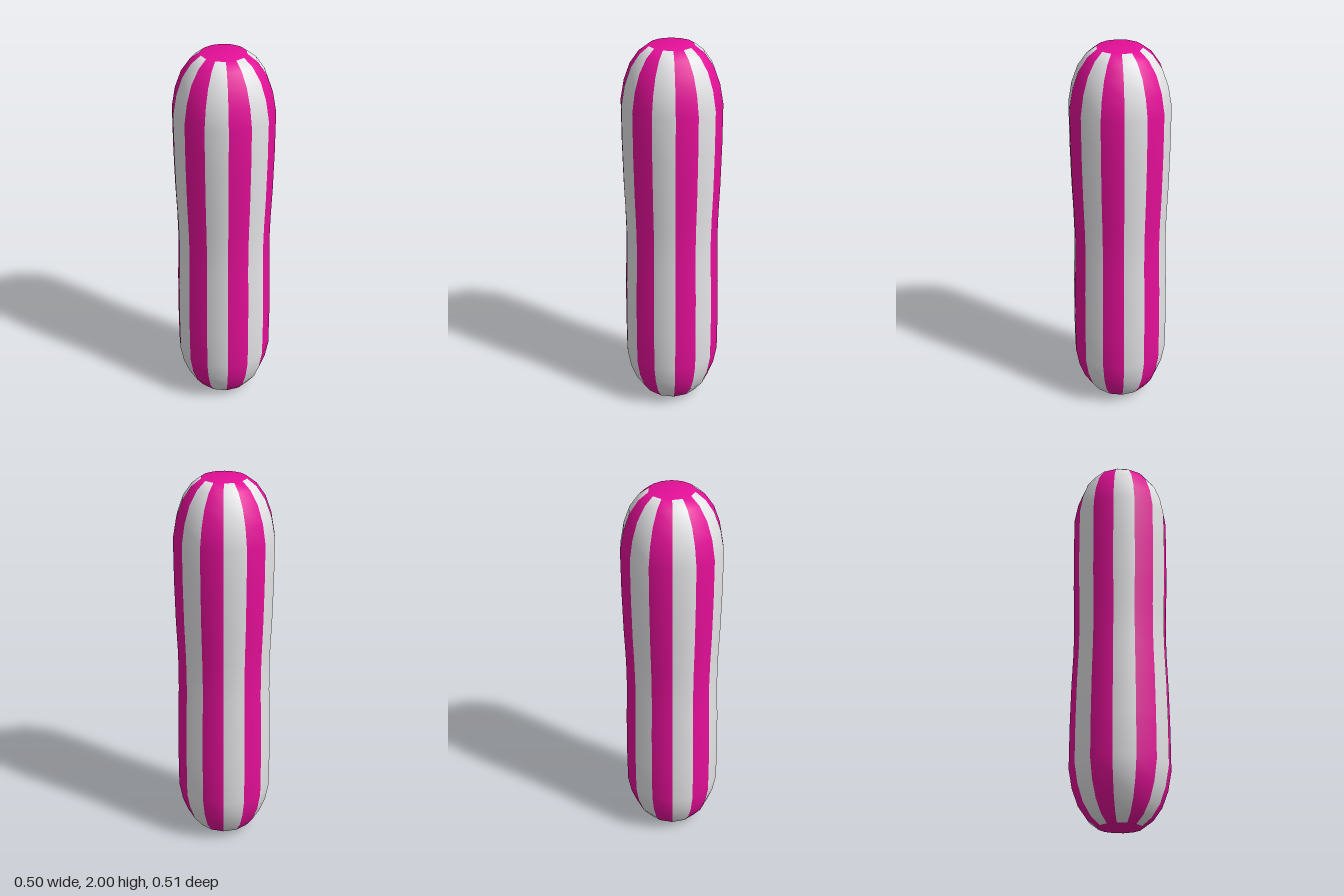
import * as THREE from 'three';

export function createModel() {
  const pink = new THREE.MeshStandardMaterial({ color: 0xe40f98 });
  pink.name = 'magenta';
  const white = new THREE.MeshStandardMaterial({ color: 0xe6e6e9 });
  white.name = 'offWhite';

  // Lower half profile [radius, height]: flat end, rounded shoulder, slight waist
  const half = [
    [0, 0], [0.112, 0], [0.16, 0.036], [0.205, 0.1], [0.236, 0.185],
    [0.254, 0.285], [0.254, 0.5], [0.25, 0.72], [0.244, 0.88],
  ];
  const profile = [
    ...half,
    [0.242, 1],
    ...half.map(([r, y]) => [r, 2 - y]).reverse(),
  ].map(([r, y]) => new THREE.Vector2(r, y));

  const sides = 14;
  const geometry = new THREE.LatheGeometry(profile, sides);

  // Alternate stripes around the sides, with magenta end caps
  const perSide = geometry.index.count / sides;
  const cap = perSide / (profile.length - 1);
  for (let i = 0; i < sides; i++) {
    const start = i * perSide;
    geometry.addGroup(start, cap, 0);
    geometry.addGroup(start + cap, perSide - 2 * cap, i % 2 ? 0 : 1);
    geometry.addGroup(start + perSide - cap, cap, 0);
  }

  const body = new THREE.Mesh(geometry, [pink, white]);
  body.name = 'stripedBody';
  const group = new THREE.Group();
  group.name = 'stripedCapsule';
  group.add(body);
  return group;
}
